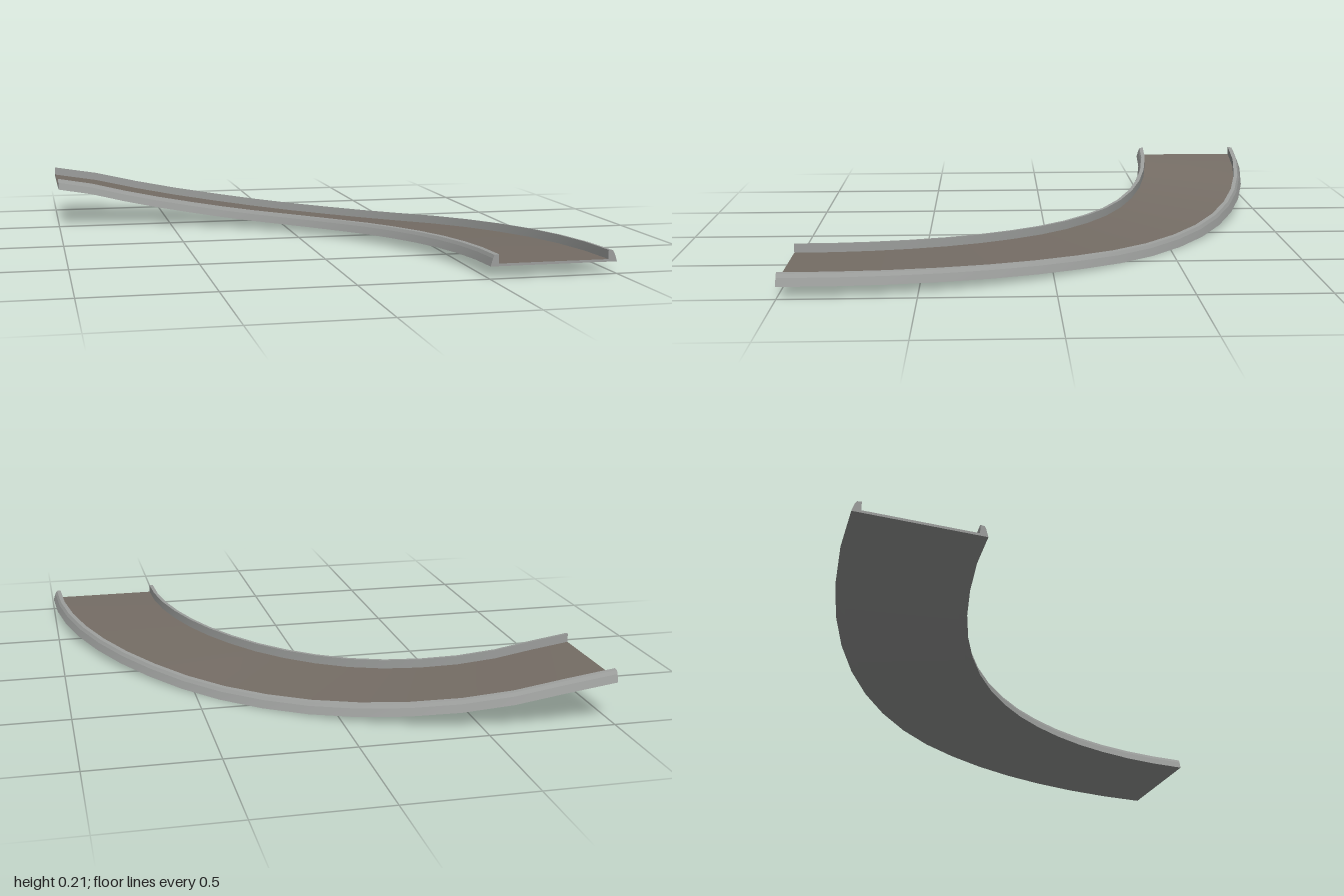
import * as THREE from 'three';

const SEGMENTS = 16;
const INNER = 1.5, OUTER = 2;

// Underside height at the inner (x) and outer (y) edge, every 15 degrees of the bend
const heights = new THREE.SplineCurve([
  [0.048, 0.047], [0.044, 0.037], [0.037, 0.019], [0.033, 0.001],
  [0.046, 0.016], [0.093, 0.074], [0.17, 0.17],
].map(([i, o]) => new THREE.Vector2(i, o)));

// Point on the banked quarter bend: radius r, height h above the underside
function bendPoint(r, h, t) {
  const a = t * Math.PI / 2;
  const edge = heights.getPoint(t);
  const y = THREE.MathUtils.lerp(edge.x, edge.y, (r - INNER) / (OUTER - INNER)) + h;
  return [-1 + r * Math.cos(a), y, 1 - r * Math.sin(a)];
}

// Sweeps a convex clockwise [r, h] profile round the bend; profile edge 0 is material group 0
function sweep(profile) {
  const pos = [], idx = [];
  const n = profile.length;
  const geo = new THREE.BufferGeometry();
  for (let j = 0; j < n; j++) {
    const base = pos.length / 3;
    const a = profile[j], b = profile[(j + 1) % n];
    for (let i = 0; i <= SEGMENTS; i++) {
      const t = i / SEGMENTS;
      pos.push(...bendPoint(...a, t), ...bendPoint(...b, t));
      if (i === SEGMENTS) continue;
      const k = base + i * 2;
      idx.push(k, k + 1, k + 2, k + 1, k + 3, k + 2);
    }
  }
  // End caps
  for (const t of [0, 1]) {
    const base = pos.length / 3;
    profile.forEach(p => pos.push(...bendPoint(...p, t)));
    for (let j = 1; j < n - 1; j++) {
      if (t) idx.push(base, base + j, base + j + 1);
      else idx.push(base, base + j + 1, base + j);
    }
  }
  geo.setAttribute('position', new THREE.Float32BufferAttribute(pos, 3));
  geo.setIndex(idx);
  geo.addGroup(0, SEGMENTS * 6, 0);
  geo.addGroup(SEGMENTS * 6, idx.length - SEGMENTS * 6, 1);
  geo.computeVertexNormals();
  return geo;
}

export function createModel() {
  const model = new THREE.Group();
  model.name = 'curvedTrack';
  const surface = new THREE.MeshStandardMaterial({ color: 0x756d65 });
  surface.name = 'warm grey surface';
  const metal = new THREE.MeshStandardMaterial({ color: 0x9c9e9c });
  metal.name = 'light grey rail';

  const add = (name, profile, material) => {
    const mesh = new THREE.Mesh(sweep(profile), material);
    mesh.name = name;
    model.add(mesh);
  };

  // Floor slab with a coloured top
  add('floor', [[1.533, 0.01], [1.965, 0.01], [1.965, 0], [1.533, 0]], [surface, metal]);

  // Side rails, leaning in towards the floor
  add('outerRail', [[1.965, 0.045], [1.982, 0.043], [1.99, 0.03], [2, 0], [1.965, 0]], [metal, metal]);
  add('innerRail', [[1.516, 0.043], [1.533, 0.045], [1.533, 0], [1.502, 0], [1.51, 0.03]], [metal, metal]);
  return model;
}
